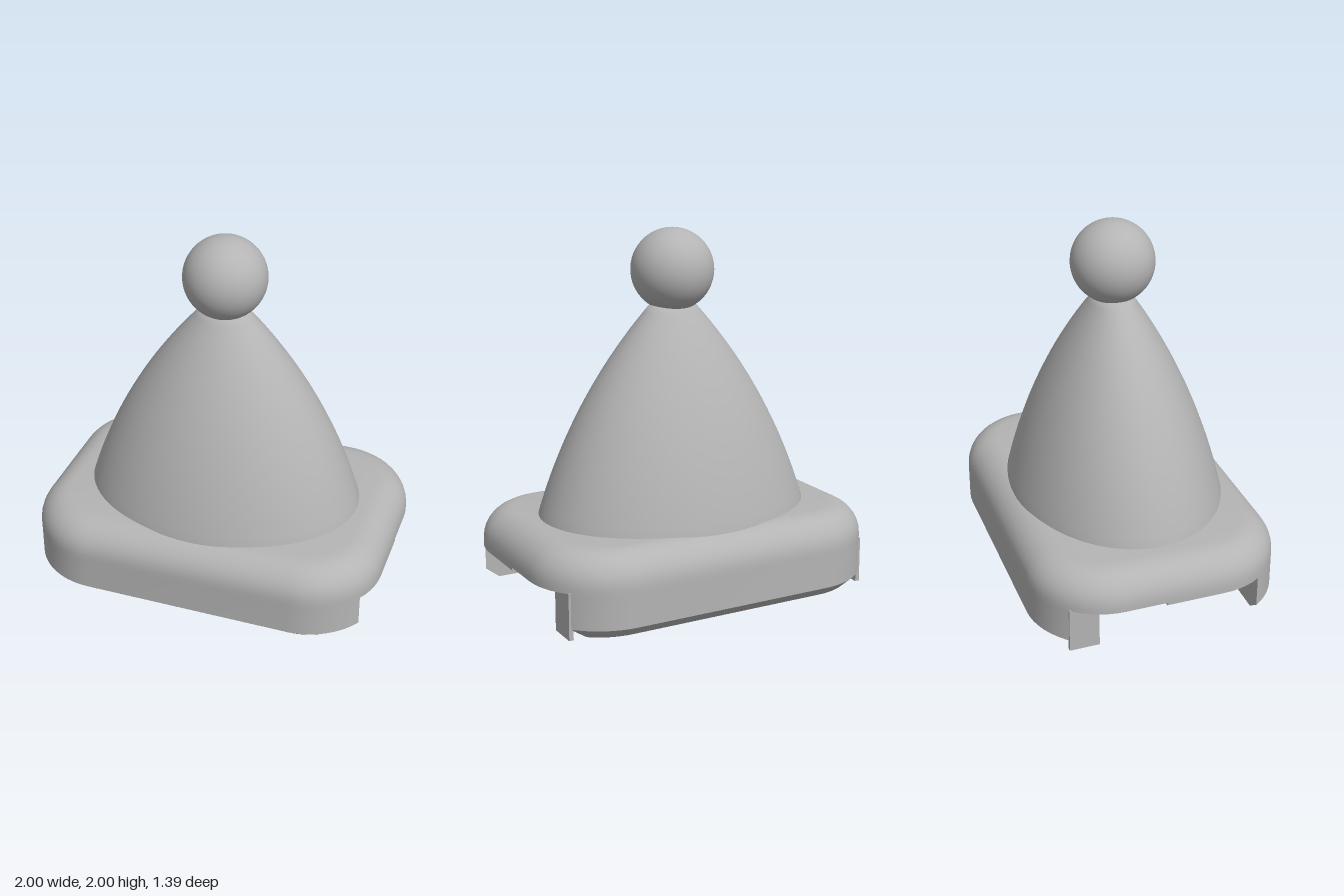
import * as THREE from 'three';
import { toCreasedNormals } from 'three/addons/utils/BufferGeometryUtils.js';

const HALF_X = 1, HALF_Z = 0.695, RADIUS = 0.42, STEPS = 14;

// Rounded-rectangle outline inset by d and cut to zMin..zMax
function outline(d, zMin, zMax) {
  const r = RADIUS - d, cx = HALF_X - RADIUS, cz = HALF_Z - RADIUS;
  const side = [];
  for (const s of [-1, 1]) {
    for (let i = 0; i <= STEPS; i++) {
      const a = (s < 0 ? STEPS - i : i) / STEPS * Math.PI / 2;
      const z = THREE.MathUtils.clamp(s * (cz + r * Math.sin(a)), zMin, zMax);
      const dz = Math.min(r, Math.max(0, Math.abs(z) - cz));
      side.push([cx + Math.sqrt(r * r - dz * dz), z]);
    }
  }
  return [...side, ...side.slice().reverse().map(([x, z]) => [-x, z])];
}

// Closed solid through levels of [y, inset]
function loft(levels, zMin = -9, zMax = 9) {
  const rings = levels.map(([y, d]) => outline(d, zMin, zMax).map(([x, z]) => [x, y, z]));
  const n = rings[0].length, pos = [];
  const tri = (a, b, c) => pos.push(...a, ...b, ...c);
  for (let k = 0; k < rings.length - 1; k++) {
    const lo = rings[k], hi = rings[k + 1];
    for (let i = 0; i < n; i++) {
      const j = (i + 1) % n;
      tri(lo[i], hi[i], lo[j]);
      tri(lo[j], hi[i], hi[j]);
    }
  }
  const bottom = rings[0], top = rings[rings.length - 1];
  for (let i = 1; i < n - 1; i++) {
    tri(bottom[0], bottom[i], bottom[i + 1]);
    tri(top[0], top[i + 1], top[i]);
  }
  const g = new THREE.BufferGeometry();
  g.setAttribute('position', new THREE.Float32BufferAttribute(pos, 3));
  return toCreasedNormals(g, 0.5);
}

export function createModel() {
  const model = new THREE.Group();
  const grey = new THREE.MeshStandardMaterial({ color: 0xb4b4b4 });
  grey.name = 'plain grey';

  const add = (name, geometry) => {
    const mesh = new THREE.Mesh(geometry, grey);
    mesh.name = name;
    model.add(mesh);
    return mesh;
  };
  const box = (name, x0, x1, y0, y1, z0, z1) =>
    add(name, new THREE.BoxGeometry(x1 - x0, y1 - y0, z1 - z0))
      .position.set((x0 + x1) / 2, (y0 + y1) / 2, (z0 + z1) / 2);

  // Cap plate with a filleted top edge
  const fillet = 0.175, topY = 0.45;
  const levels = [[0.25, 0]];
  for (let i = 0; i <= 8; i++) {
    const a = i / 8 * Math.PI / 2;
    levels.push([topY - fillet + fillet * Math.sin(a), fillet * (1 - Math.cos(a))]);
  }
  add('basePlate', loft(levels));
  add('underStep', loft([[0.235, 0], [0.25, 0]], -0.05));

  // Long rails with chamfered feet
  const railLevels = [[0, 0.065], [0.06, 0], [0.25, 0]];
  add('frontRail', loft(railLevels, 0.495));
  add('backRail', loft(railLevels, -9, -0.55));

  // Clip strip in front of the back rail, with end walls
  box('clipStrip', -0.905, 0.905, 0, 0.25, -0.44, -0.39);
  for (const s of [-1, 1]) {
    box('clipEnd', s * 0.8925 - 0.0125, s * 0.8925 + 0.0125, 0, 0.255, -0.555, -0.39);
  }

  // Small central hook with a chamfered lower edge
  const hook = new THREE.Shape([[0.31, 0.2], [0.31, 0.025], [0.335, 0], [0.395, 0], [0.395, 0.2]]
    .map(([x, y]) => new THREE.Vector2(x, y)));
  const hookMesh = add('clipHook', new THREE.ExtrudeGeometry(hook, { depth: 0.22, bevelEnabled: false }));
  hookMesh.rotation.y = Math.PI / 2;
  hookMesh.position.x = -0.11;

  // Oval bulging cone
  const curve = new THREE.QuadraticBezierCurve(
    new THREE.Vector2(0.78, 0.45), new THREE.Vector2(0.58, 1.09), new THREE.Vector2(0.13, 1.585));
  const profile = [new THREE.Vector2(0.785, 0.42), ...curve.getPoints(24), new THREE.Vector2(0, 1.62)];
  const cone = new THREE.LatheGeometry(profile, 80);
  cone.scale(1, 1, 0.75);
  add('cone', cone);

  // Ball on the tip
  add('ball', new THREE.SphereGeometry(0.228, 48, 32)).position.y = 1.772;

  return model;
}
